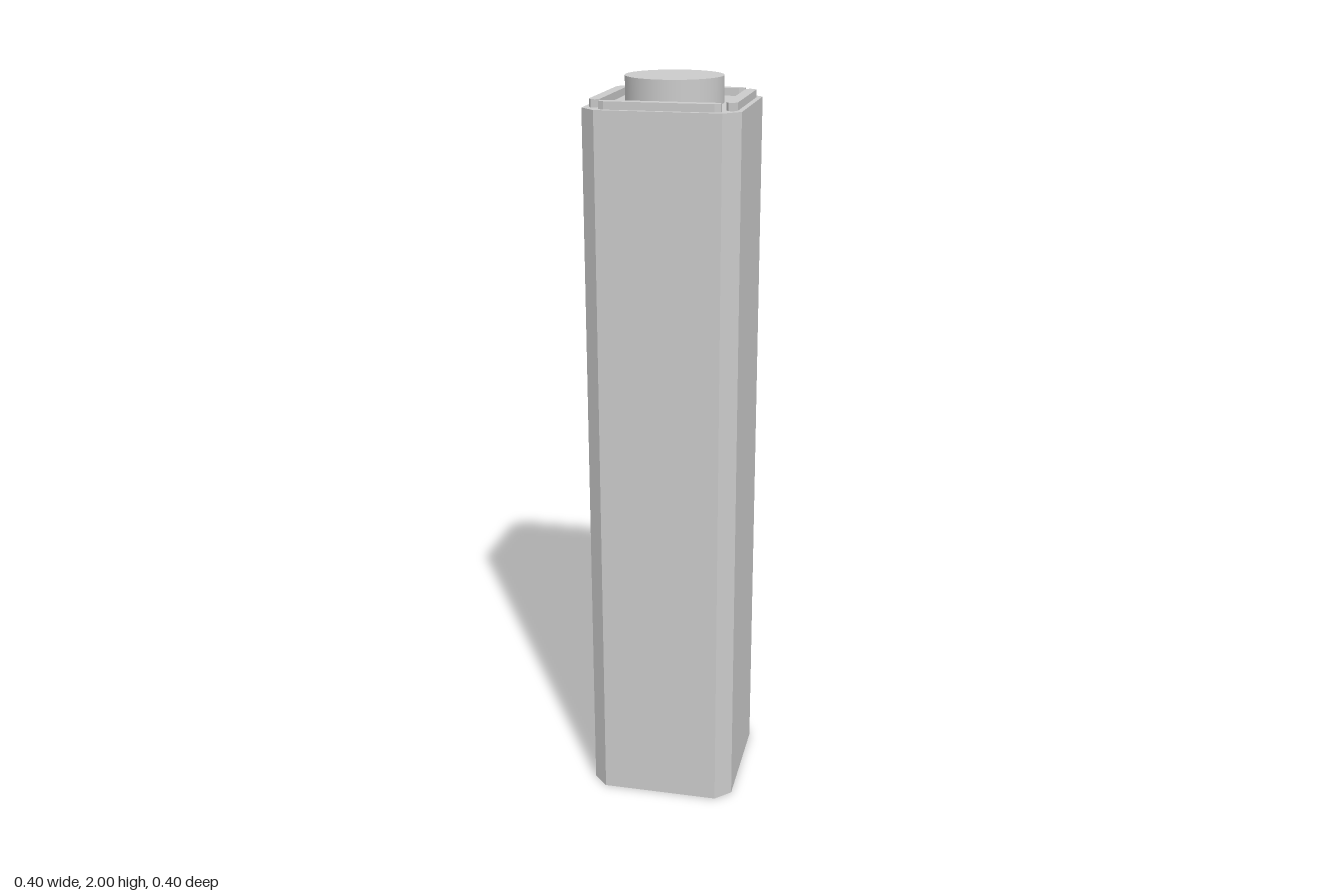
import * as THREE from 'three';

const material = new THREE.MeshStandardMaterial({ color: 0xcccccc, flatShading: true });
const smooth = new THREE.MeshStandardMaterial({ color: 0xcccccc });

// Upright prism from a rectangle with cut corners (half sizes hx, hz; cuts cx, cz)
function cutPrism(hx, hz, cx, cz, height) {
  const shape = new THREE.Shape([
    [hx, cz - hz], [hx, hz - cz], [hx - cx, hz], [cx - hx, hz],
    [-hx, hz - cz], [-hx, cz - hz], [cx - hx, -hz], [hx - cx, -hz],
  ].map(([x, y]) => new THREE.Vector2(x, y)));
  return new THREE.ExtrudeGeometry(shape, { depth: height, bevelEnabled: false }).rotateX(-Math.PI / 2);
}

export function createModel() {
  const group = new THREE.Group();
  const add = (name, geometry, mat, y) => {
    const mesh = new THREE.Mesh(geometry, mat);
    mesh.name = name;
    mesh.position.y = y;
    group.add(mesh);
    return mesh;
  };
  const bodyTop = 1.932;

  // Square column with chamfered vertical edges
  add('columnBody', cutPrism(0.202, 0.202, 0.041, 0.041, bodyTop), material, 0);

  // Round peg on top
  const pegHeight = 2 - bodyTop;
  add('topPeg', new THREE.CylinderGeometry(0.127, 0.127, pegHeight, 64), smooth, bodyTop + pegHeight / 2);

  // Raised strip along each top edge
  const strip = cutPrism(0.154, 0.0145, 0.015, 0.008, 0.02);
  ['front', 'left', 'back', 'right'].forEach((side, i) => {
    const angle = i * Math.PI / 2;
    const mesh = add(side + 'RimStrip', strip, material, bodyTop);
    mesh.position.x = Math.sin(angle) * 0.174;
    mesh.position.z = Math.cos(angle) * 0.174;
    mesh.rotation.y = angle;
  });

  return group;
}
